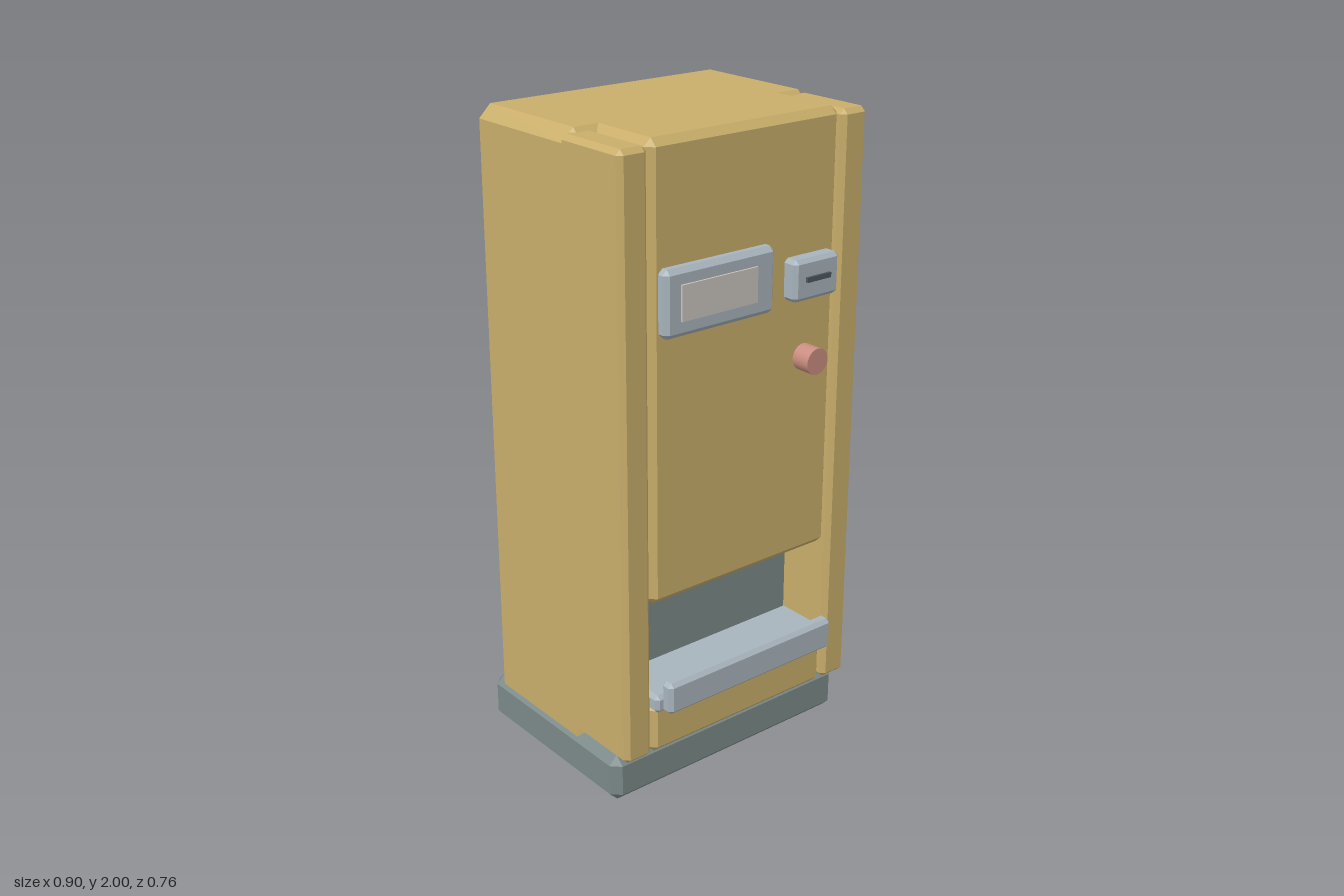
import * as THREE from 'three';
import { ConvexGeometry } from 'three/addons/geometries/ConvexGeometry.js';

const mat = (name, color) => {
  const m = new THREE.MeshStandardMaterial({ color });
  m.name = name;
  return m;
};

// Box given by its limits, with every edge cut by a flat chamfer c
function chamferBox([x0, x1], [y0, y1], [z0, z1], c) {
  const h = [(x1 - x0) / 2, (y1 - y0) / 2, (z1 - z0) / 2];
  const points = [];
  for (const sx of [-1, 1]) for (const sy of [-1, 1]) for (const sz of [-1, 1])
    for (let full = 0; full < 3; full++) {
      const p = h.map((v, i) => (i === full ? v : v - c));
      points.push(new THREE.Vector3(sx * p[0], sy * p[1], sz * p[2]));
    }
  const g = new ConvexGeometry(points);
  g.translate((x0 + x1) / 2, (y0 + y1) / 2, (z0 + z1) / 2);
  return g;
}

function plainBox([x0, x1], [y0, y1], [z0, z1]) {
  const g = new THREE.BoxGeometry(x1 - x0, y1 - y0, z1 - z0);
  g.translate((x0 + x1) / 2, (y0 + y1) / 2, (z0 + z1) / 2);
  return g;
}

export function createModel() {
  const group = new THREE.Group();
  group.name = 'vendingMachine';

  const tan = mat('tanPaint', 0xc9ae6b);
  const slate = mat('slateMetal', 0x7a8988);
  const silver = mat('silverTrim', 0xa8b4bd);
  const glass = mat('paleScreen', 0xc9c3bc);
  const dark = mat('darkSlot', 0x4c575f);
  const coral = mat('coralButton', 0xc98d80);

  const add = (name, geometry, material) => {
    const mesh = new THREE.Mesh(geometry, material);
    mesh.name = name;
    group.add(mesh);
  };

  // Plinth and cabinet
  add('base', chamferBox([-0.45, 0.45], [0, 0.155], [-0.38, 0.275], 0.028), slate);
  add('cabinet', chamferBox([-0.44, 0.44], [0.1, 2], [-0.362, 0.11], 0.038), tan);

  // Front columns
  add('leftColumn', chamferBox([0.345, 0.442], [0.16, 1.987], [0.06, 0.322], 0.015), tan);
  add('rightColumn', chamferBox([-0.442, -0.345], [0.16, 1.987], [0.06, 0.322], 0.015), tan);

  // Door above the dispensing bay and panel below it
  add('door', chamferBox([-0.342, 0.342], [0.65, 2], [0.048, 0.318], 0.022), tan);
  add('lowerPanel', chamferBox([-0.342, 0.342], [0.155, 0.32], [0.05, 0.318], 0.02), tan);

  // Dispensing bay
  add('bayBack', plainBox([-0.328, 0.328], [0.3, 0.67], [0.09, 0.15]), slate);
  add('trayShelf', chamferBox([-0.34, 0.34], [0.302, 0.36], [0.14, 0.337], 0.012), silver);
  add('trayLip', chamferBox([-0.322, 0.322], [0.31, 0.412], [0.332, 0.378], 0.012), silver);

  // Display
  add('displayFrame', chamferBox([-0.32, 0.073], [1.46, 1.655], [0.31, 0.357], 0.015), silver);
  add('displayScreen', plainBox([-0.268, 0], [1.507, 1.61], [0.356, 0.363]), glass);

  // Coin unit
  add('coinPlate', chamferBox([0.135, 0.307], [1.474, 1.598], [0.31, 0.368], 0.012), silver);
  add('coinSlot', plainBox([0.176, 0.266], [1.531, 1.546], [0.367, 0.376]), dark);

  // Push button
  const button = new THREE.CylinderGeometry(0.04, 0.04, 0.07, 24);
  button.rotateX(Math.PI / 2).translate(0.22, 1.287, 0.345);
  add('button', button, coral);

  return group;
}
